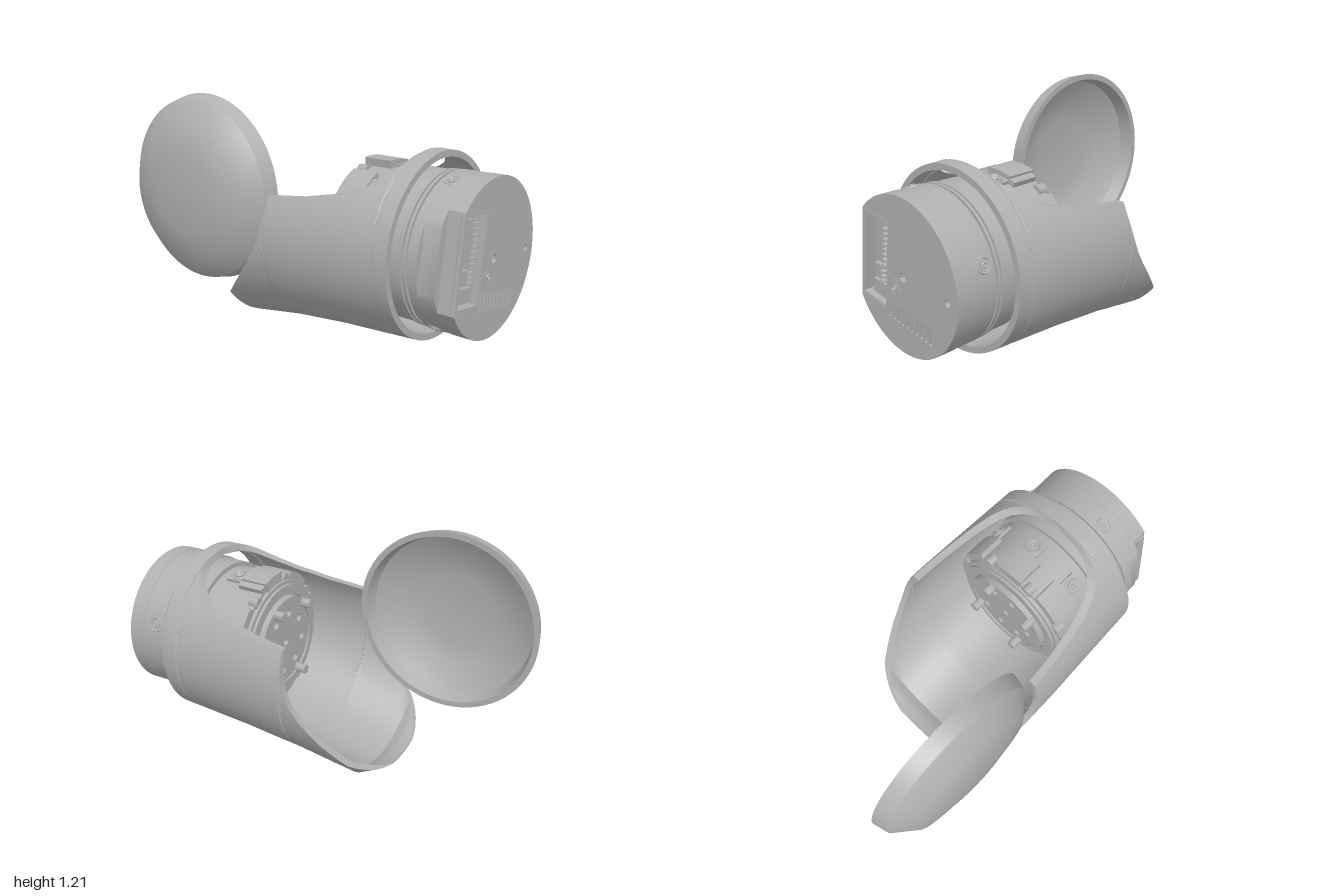
import * as THREE from 'three';
import { toCreasedNormals } from 'three/addons/utils/BufferGeometryUtils.js';

const grey = new THREE.MeshStandardMaterial({ color: 0xb0b0b0 });
grey.name = 'plain grey';

function add(parent, name, geo, crease = 0.6) {
  const m = new THREE.Mesh(toCreasedNormals(geo, crease), grey);
  m.name = name;
  parent.add(m);
  return m;
}

// Piecewise linear profile lookup: points are [x, value]
function at(pts, x) {
  for (let i = 1; i < pts.length; i++) {
    const [a, b] = [pts[i - 1], pts[i]];
    if (x <= b[0]) return a[1] + (b[1] - a[1]) * (x - a[0]) / (b[0] - a[0]);
  }
  return pts[pts.length - 1][1];
}

// Open sleeve: oval sections along x, each cut off at the height of the rim
function shellGeometry() {
  const bottom = [[-0.44, 0.075], [-0.32, 0.005], [-0.15, 0.032], [0, 0.055], [0.3, 0.083], [0.72, 0.105]];
  const top = [[-0.44, 1], [0, 1.03], [0.72, 1.016]];
  const width = [[-0.44, 0.475], [-0.2, 0.482], [0.1, 0.48], [0.72, 0.455]];
  const wall = [[-0.44, 0.008], [-0.37, 0.035], [0.72, 0.032]];
  const rim = [[-0.44, 0.095], [-0.3, 0.215], [-0.2, 0.315], [-0.1, 0.43], [-0.05, 0.505], [-0.015, 0.59],
    [0, 0.65], [0.01, 0.77], [0.2, 0.79], [0.4, 0.83], [0.5, 0.865], [0.56, 0.9], [0.6, 0.935],
    [0.625, 0.97], [0.64, 1.03], [0.72, 1.05]];
  const xs = [-0.44, -0.425, -0.41, -0.39, -0.37, -0.345, -0.32, -0.28, -0.24, -0.2, -0.15, -0.1, -0.05, -0.015,
    0, 0.01, 0.06, 0.12, 0.2, 0.3, 0.4, 0.45, 0.5, 0.53, 0.56, 0.58, 0.6, 0.615, 0.625, 0.632, 0.64, 0.68, 0.72];
  const N = 64, L = 2 * (N + 1), pos = [], idx = [];
  for (const x of xs) {
    const lo = at(bottom, x), hi = at(top, x), cy = (lo + hi) / 2;
    for (const side of [1, -1]) {
      const t = side > 0 ? 0 : at(wall, x);
      const ry = (hi - lo) / 2 - t, rz = at(width, x) - t;
      const max = Math.acos(THREE.MathUtils.clamp((cy - at(rim, x)) / ry, -1, 1));
      for (let j = 0; j <= N; j++) {
        const phi = side * max * (2 * j / N - 1);
        pos.push(x, cy - ry * Math.cos(phi), -0.03 + rz * Math.sin(phi));
      }
    }
  }
  for (let i = 0; i < xs.length - 1; i++) for (let j = 0; j < L; j++) {
    const k = (j + 1) % L, a = i * L, b = a + L;
    idx.push(a + j, b + j, a + k, b + j, b + k, a + k);
  }
  // End faces
  const e = (xs.length - 1) * L;
  for (let j = 0; j < N; j++) {
    const p = L - 1 - j, q = p - 1;
    idx.push(e + j, e + p, e + j + 1, e + p, e + q, e + j + 1);
    idx.push(j, j + 1, p, p, j + 1, q);
  }
  const g = new THREE.BufferGeometry();
  g.setAttribute('position', new THREE.Float32BufferAttribute(pos, 3));
  g.setIndex(idx);
  return g;
}

// Motor frame: local z runs along the axis; u points to the flat side, v along it
const A = THREE.MathUtils.degToRad(172);
const uv = (u, v) => new THREE.Vector2(u * Math.cos(A) + v * Math.sin(A), u * Math.sin(A) - v * Math.cos(A));
const rectUV = (u0, u1, v0, v1) => [uv(u0, v0), uv(u1, v0), uv(u1, v1), uv(u0, v1)];

function circleHole(r, x = 0, y = 0) {
  return new THREE.Path().absarc(x, y, r, 0, Math.PI * 2, true);
}

// Disc with a bore, optionally cut flat at distance d from the axis
function disc(parent, name, r, z0, z1, { d = r, holes = [], bore = 0.022 } = {}) {
  const h = Math.acos(d / r);
  const s = new THREE.Shape().absarc(0, 0, r, A + h, A - h + Math.PI * 2, false);
  s.holes.push(circleHole(bore), ...holes);
  const g = new THREE.ExtrudeGeometry(s, { depth: z1 - z0, bevelEnabled: false, curveSegments: 40 });
  g.translate(0, 0, z0);
  return add(parent, name, g);
}

// Curved block on the motor's circumference
function sector(parent, name, r0, r1, a, half, z0, z1) {
  const s = new THREE.Shape().absarc(0, 0, r1, a - half, a + half, false);
  s.absarc(0, 0, r0, a + half, a - half, true);
  const g = new THREE.ExtrudeGeometry(s, { depth: z1 - z0, bevelEnabled: false, curveSegments: 8 });
  g.translate(0, 0, z0);
  add(parent, name, g);
}

// Socket screw: ring, sunk head
function screw(parent, r = 0.035) {
  const g = new THREE.Group();
  g.name = 'screw';
  add(g, 'screwRing', new THREE.TorusGeometry(r, 0.006, 6, 24).rotateX(Math.PI / 2));
  add(g, 'screwHead', new THREE.CylinderGeometry(r * 0.65, r * 0.65, 0.012, 20));
  add(g, 'screwSocket', new THREE.TorusGeometry(r * 0.32, 0.004, 4, 6).rotateX(Math.PI / 2).translate(0, 0.007, 0));
  parent.add(g);
  return g;
}

function radialScrew(parent, a, r, z, size) {
  const s = screw(parent, size);
  s.position.set(r * Math.cos(a), r * Math.sin(a), z);
  s.rotation.z = a - Math.PI / 2;
}

function boxUV(parent, name, u, v, z, su, sv, sz) {
  const p = uv(u, v), m = add(parent, name, new THREE.BoxGeometry(su, sv, sz));
  m.position.set(p.x, p.y, z);
  m.rotation.z = A - Math.PI;
}

function buildMotor() {
  const m = new THREE.Group();
  m.name = 'motor';
  // Front hub with bolt holes
  const bolts = [];
  for (let i = 0; i < 8; i++) {
    const a = i * Math.PI / 4 + 0.2;
    bolts.push(circleHole(0.022, 0.16 * Math.cos(a), 0.16 * Math.sin(a)));
  }
  disc(m, 'hubPlate', 0.225, 0.26, 0.29, { holes: bolts });
  disc(m, 'hubRim', 0.25, 0.25, 0.29, { bore: 0.225 });
  disc(m, 'frontPlate', 0.31, 0.275, 0.31, { bore: 0.26 });
  disc(m, 'frontBase', 0.33, 0.29, 0.32);
  for (const [x, y] of [[0.1, 0.2], [-0.16, 0.17], [0.18, -0.12], [-0.1, -0.2]]) {
    const peg = add(m, 'hubPeg', new THREE.CylinderGeometry(0.025, 0.025, 0.07, 16).rotateX(Math.PI / 2));
    peg.position.set(x, y, 0.235);
  }
  // Body and rear cover
  disc(m, 'body', 0.345, 0.31, 0.66);
  disc(m, 'bodyCollar', 0.368, 0.6, 0.725);
  disc(m, 'grooveCore', 0.36, 0.72, 0.79);
  for (const z of [0.732, 0.756]) disc(m, 'grooveRing', 0.376, z, z + 0.014, { bore: 0.3 });
  disc(m, 'coverFront', 0.378, 0.785, 0.83);
  disc(m, 'coverMiddle', 0.378, 0.83, 0.915, { d: 0.345 });
  disc(m, 'coverRear', 0.38, 0.915, 0.94, { d: 0.305 });
  // End plate with connector bay and vent slots
  const holes = [new THREE.Path(rectUV(0.115, 0.285, -0.2, 0.21))];
  for (let i = 0; i < 10; i++) {
    const u = 0.085 - i * 0.033;
    holes.push(new THREE.Path(rectUV(u - 0.009, u + 0.009, -0.24, -0.16)));
  }
  holes.push(circleHole(0.017, 0.31, -0.022));
  disc(m, 'endPlate', 0.38, 0.94, 1, { d: 0.305, holes });
  add(m, 'ventFloor', new THREE.CircleGeometry(0.01, 12).translate(0.31, -0.022, 0.98));

  // Connector sockets and pins
  boxUV(m, 'longSocket', 0.2, 0.08, 0.95, 0.1, 0.21, 0.03);
  boxUV(m, 'middleSocket', 0.21, -0.075, 0.95, 0.08, 0.07, 0.04);
  boxUV(m, 'lowerSocket', 0.19, -0.155, 0.95, 0.11, 0.07, 0.05);
  for (let i = 0; i < 8; i++) boxUV(m, 'pin', 0.155, 0.17 - i * 0.026, 0.97, 0.03, 0.007, 0.04);
  for (let i = 0; i < 3; i++) boxUV(m, 'pin', 0.165, -0.05 - i * 0.024, 0.975, 0.03, 0.007, 0.03);
  for (const v of [-0.213, 0.222]) boxUV(m, 'bayEdge', 0.2, v, 0.998, 0.19, 0.008, 0.008);
  boxUV(m, 'bayEdge', 0.105, 0.005, 0.998, 0.008, 0.43, 0.008);
  boxUV(m, 'sideStrip', 0.308, 0.0, 0.96, 0.02, 0.43, 0.05);

  // Screw on the end plate
  boxUV(m, 'screwPad', 0.06, -0.076, 1, 0.08, 0.09, 0.004);
  const s = screw(m, 0.03), p = uv(0.05, -0.076);
  s.position.set(p.x, p.y, 0.998);
  s.rotation.x = Math.PI / 2;

  // Bosses, tabs and screws around the body
  for (let i = 0; i < 8; i++) {
    const a = THREE.MathUtils.degToRad(81 + i * 45);
    sector(m, 'bodyTab', 0.33, 0.372, a, 0.24, 0.31, 0.45);
    sector(m, 'screwBoss', 0.33, 0.36, a, 0.14, 0.45, 0.55);
    radialScrew(m, a, 0.362, 0.5, 0.038);
    const lug = add(m, 'frontLug', new THREE.CylinderGeometry(0.03, 0.03, 0.05, 16).rotateX(Math.PI / 2));
    lug.position.set(0.335 * Math.cos(a + 0.39), 0.335 * Math.sin(a + 0.39), 0.325);
  }
  sector(m, 'topBlock', 0.33, 0.384, Math.PI / 2 - 0.1, 0.2, 0.3, 0.45);
  for (const deg of [108, 18, 288, 236]) radialScrew(m, THREE.MathUtils.degToRad(deg), 0.376, 0.835, 0.035);

  m.rotation.y = Math.PI / 2;
  m.position.set(0, 0.558, -0.025);
  return m;
}

export function createModel() {
  const g = new THREE.Group();
  g.name = 'motorHousing';
  add(g, 'sleeve', shellGeometry(), 0.5);

  // Round cover: shallow dish, hollow at the back
  const dish = [[0, 0.475], [0.2, 0.468], [0.3, 0.45], [0.44, 0.37], [0.46, 0.295], [0.49, 0.295],
    [0.47, 0.375], [0.36, 0.468], [0.2, 0.495], [0.1, 0.504], [0, 0.507]];
  const lathe = new THREE.LatheGeometry(dish.map(([r, z]) => new THREE.Vector2(r, z)), 72);
  add(g, 'roundCover', lathe.rotateX(Math.PI / 2)).position.set(-0.51, 0.722, 0);

  g.add(buildMotor());
  return g;
}
